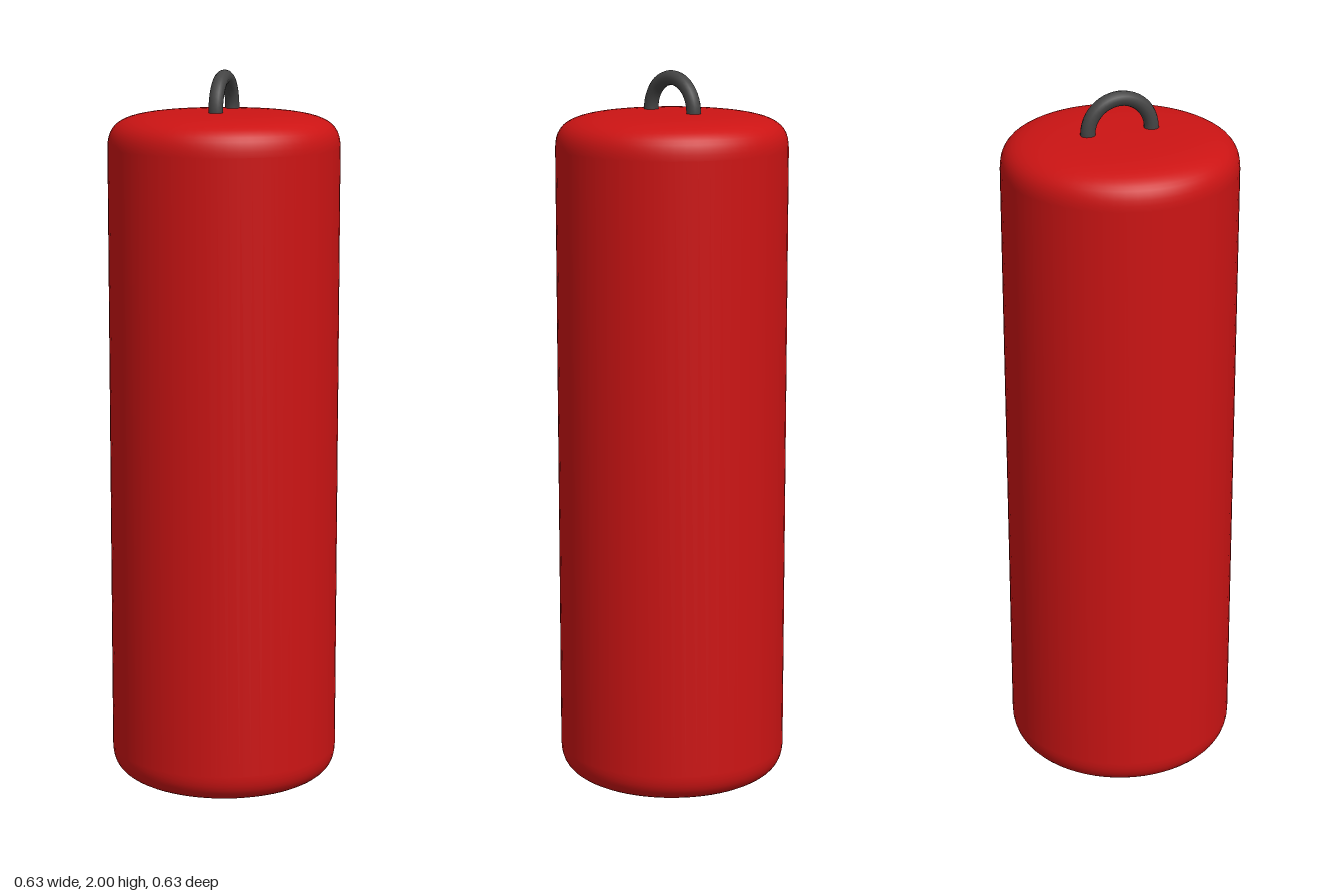
import * as THREE from 'three';

export function createModel() {
  const group = new THREE.Group();
  const red = new THREE.MeshStandardMaterial({ color: 0xcc1414 });
  const dark = new THREE.MeshStandardMaterial({ color: 0x444444 });

  // Padded cylinder: gently domed ends rolling over into a straight wall
  const radius = 0.316, bottom = 0.004, top = 1.891;
  const profile = new THREE.Path();
  profile.moveTo(0, bottom);
  profile.lineTo(0.1, bottom + 0.001);
  profile.bezierCurveTo(0.27, bottom + 0.005, radius, bottom + 0.025, radius, bottom + 0.1);
  profile.lineTo(radius, top - 0.1);
  profile.bezierCurveTo(radius, top - 0.025, 0.27, top - 0.005, 0.1, top - 0.001);
  profile.lineTo(0, top);
  const points = profile.getPoints(14);
  points[0].x = points[points.length - 1].x = 0;
  const body = new THREE.Mesh(new THREE.LatheGeometry(points, 64), red);
  body.name = 'bagBody';
  group.add(body);

  // Half-ring hanging loop, standing in the front-to-back plane
  const loop = new THREE.Mesh(new THREE.TorusGeometry(0.088, 0.02, 12, 24, Math.PI), dark);
  loop.name = 'hangingLoop';
  loop.rotation.y = Math.PI / 2;
  loop.position.set(0, 1.892, -0.001);
  group.add(loop);

  // Short feet sink the loop into the top
  for (const side of [-1, 1]) {
    const foot = new THREE.Mesh(new THREE.CylinderGeometry(0.02, 0.02, 0.03, 12), dark);
    foot.name = side > 0 ? 'loopFootFront' : 'loopFootBack';
    foot.position.set(0, 1.877, side * 0.088 - 0.001);
    group.add(foot);
  }
  return group;
}
